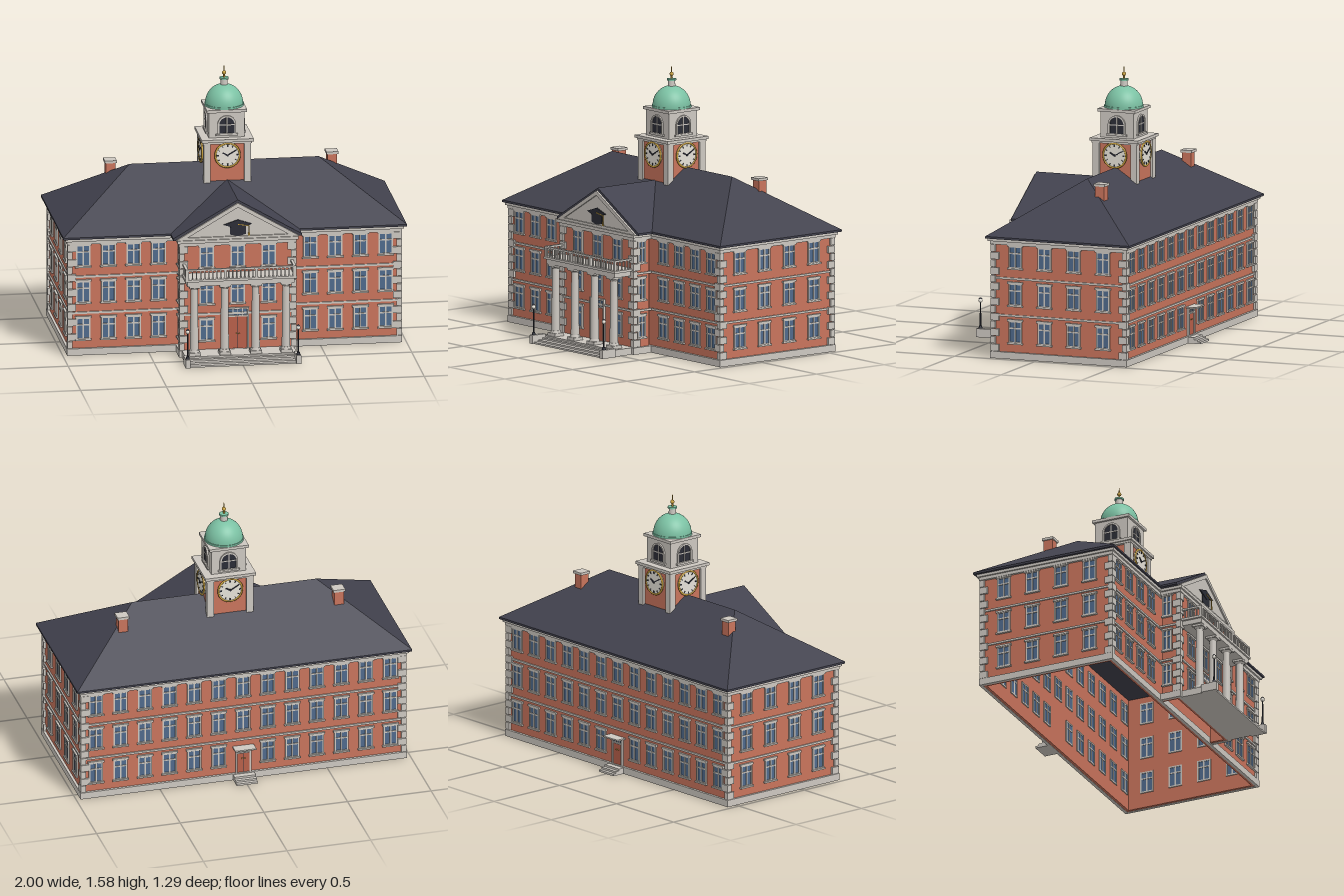
import * as THREE from 'three';

const M = {};
for (const [name, color] of Object.entries({
  brick: 0xc9745c, stone: 0xcdc8c1, roof: 0x42424e, glass: 0x4f6a8c, copper: 0x7cc2a4,
  gold: 0xc8a03c, dial: 0xe6e2d8, dark: 0x2b2d36, door: 0xb8604a,
})) M[name] = new THREE.MeshStandardMaterial({ name, color });

function add(parent, name, geo, mat, x = 0, y = 0, z = 0) {
  const m = new THREE.Mesh(geo, mat);
  m.name = name;
  m.position.set(x, y, z);
  parent.add(m);
  return m;
}
// box given by its minimum and maximum corners
function span(parent, name, mat, x0, x1, y0, y1, z0, z1) {
  return add(parent, name, new THREE.BoxGeometry(x1 - x0, y1 - y0, z1 - z0), mat,
    (x0 + x1) / 2, (y0 + y1) / 2, (z0 + z1) / 2);
}
function sub(parent, name, x = 0, y = 0, z = 0, ry = 0) {
  const g = new THREE.Group();
  g.name = name;
  g.position.set(x, y, z);
  g.rotation.y = ry;
  parent.add(g);
  return g;
}
const poly = pts => new THREE.Shape(pts.map(p => new THREE.Vector2(...p)));
const extrude = (shape, depth) =>
  new THREE.ExtrudeGeometry(shape, { depth, bevelEnabled: false, curveSegments: 12 });
const rect = (x0, x1, y0, y1) => poly([[x0, y0], [x1, y0], [x1, y1], [x0, y1]]);
const cyl = (r0, r1, h, n = 20) => new THREE.CylinderGeometry(r0, r1, h, n);

// window geometry: four panes in a frame that passes through the thin wall
const windowCache = {};
function addWindow(parent, x, y, w = 0.084) {
  const H = 0.066, a = w / 2, f = 0.009, m = 0.004, t = 0.022;
  if (!windowCache[w]) {
    const s = rect(-a, a, -H, H);
    for (const [x0, x1] of [[-a + f, -m], [m, a - f]])
      for (const [y0, y1] of [[-H + f, t - m], [t + m, H - f]]) s.holes.push(rect(x0, x1, y0, y1));
    windowCache[w] = [extrude(s, 0.034).translate(0, 0, -0.026),
      new THREE.BoxGeometry(w - 0.004, 2 * H - 0.004, 0.026).translate(0, 0, -0.01)];
  }
  const g = sub(parent, 'window', x, y, 0);
  add(g, 'windowFrame', windowCache[w][0], M.stone);
  add(g, 'windowGlass', windowCache[w][1], M.glass);
  span(g, 'lintel', M.stone, -a - 0.006, a + 0.006, H - 0.004, H + 0.008, 0, 0.012);
  span(g, 'sill', M.stone, -a - 0.006, a + 0.006, -H - 0.006, -H + 0.003, 0, 0.014);
}

const FLOORS = [0.158, 0.377, 0.595];
// one wall seen from outside: local z is outward; courses are [y0, y1, overhang]
const COURSES = [[0, 0.04, 0.015], [0.246, 0.258, 0.008], [0.463, 0.475, 0.008],
  [0.665, 0.684, 0.015], [0.684, 0.702, 0.025]];
function wall(parent, name, x, z, ry, half, inset, xs, skip = () => false, w) {
  const g = sub(parent, name, x, 0, z, ry);
  span(g, 'brickWall', M.brick, -half + inset, half - inset, 0.002, 0.7, -0.02, 0);
  for (const [y0, y1, o] of COURSES) {
    const e = half + (inset ? 0 : o);
    span(g, 'course', M.stone, -e, e, y0, y1, -0.004, o);
  }
  xs.forEach(wx => FLOORS.forEach((y, i) => { if (!skip(wx, i)) addWindow(g, wx, y, w); }));
  return g;
}

// alternating corner stones; sx and sz point outward
function quoins(parent, x, z, sx, sz) {
  const g = sub(parent, 'cornerStones', x, 0, z), n = 14, h = 0.625 / n;
  for (let i = 0; i < n; i++) {
    const a = i % 2 ? 0.05 : 0.03, b = i % 2 ? 0.03 : 0.05;
    add(g, 'cornerStone', new THREE.BoxGeometry(a, h - 0.004, b), M.stone,
      sx * (0.013 - a / 2), 0.04 + h * (i + 0.5), sz * (0.013 - b / 2));
  }
}

function hipRoof() {
  const y = 0.712, t = 1.01, A = [-1, y, 0.31], B = [1, y, 0.31], C = [1, y, -0.59], D = [-1, y, -0.59],
    L = [-0.55, t, -0.14], R = [0.55, t, -0.14];
  const g = new THREE.BufferGeometry();
  g.setAttribute('position', new THREE.Float32BufferAttribute(
    [A, B, R, A, R, L, B, C, R, C, D, L, C, L, R, D, A, L].flat(), 3));
  g.computeVertexNormals();
  return g;
}

function clock(parent) {
  const g = sub(parent, 'clock', 0, 1.08, 0.126);
  add(g, 'clockDial', cyl(0.07, 0.07, 0.014, 40).rotateX(Math.PI / 2), M.dial, 0, 0, 0.007);
  add(g, 'clockRim', new THREE.TorusGeometry(0.071, 0.006, 8, 40), M.gold, 0, 0, 0.012);
  for (let i = 0; i < 12; i++) {
    const t = new THREE.BoxGeometry(i % 3 ? 0.004 : 0.008, 0.012, 0.004).translate(0, 0.057, 0);
    add(g, 'hourMark', t.rotateZ(i * Math.PI / 6), M.dark, 0, 0, 0.015);
  }
  for (const [len, w, a] of [[0.036, 0.008, 1.05], [0.056, 0.006, -1.05]])
    add(g, 'clockHand', new THREE.BoxGeometry(w, len, 0.004).translate(0, len / 2 - 0.004, 0).rotateZ(a),
      M.dark, 0, 0, 0.017);
  add(g, 'clockHub', cyl(0.006, 0.006, 0.008, 12).rotateX(Math.PI / 2), M.dark, 0, 0, 0.016);
}

function arch(a, y0, y1) {
  const s = new THREE.Shape();
  s.moveTo(-a, y0).lineTo(a, y0).lineTo(a, y1).absarc(0, y1, a, 0, Math.PI, false).lineTo(-a, y0);
  return s;
}

function tower(root) {
  const g = sub(root, 'clockTower', 0, 0, -0.137);
  span(g, 'towerShaft', M.brick, -0.125, 0.125, 0.72, 1.15, -0.125, 0.125);
  for (const sx of [-1, 1]) for (const sz of [-1, 1])
    add(g, 'towerPilaster', new THREE.BoxGeometry(0.04, 0.43, 0.04), M.stone, sx * 0.118, 0.935, sz * 0.118);
  const slab = (name, h, y0, y1) => span(g, name, M.stone, -h, h, y0, y1, -h, h);
  slab('towerFrieze', 0.142, 1.148, 1.16);
  slab('towerCornice', 0.151, 1.16, 1.177);
  slab('belfry', 0.104, 1.177, 1.33);
  slab('belfryCornice', 0.117, 1.328, 1.345);
  for (let i = 0; i < 4; i++) {
    const f = sub(g, 'towerSide', 0, 0, 0, i * Math.PI / 2);
    clock(f);
    // arched belfry opening
    const frame = arch(0.054, 1.197, 1.255);
    frame.holes.push(arch(0.044, 1.203, 1.255));
    add(f, 'archFrame', extrude(frame, 0.01), M.stone, 0, 0, 0.103);
    add(f, 'archOpening', extrude(arch(0.045, 1.2, 1.255), 0.004), M.dark, 0, 0, 0.102);
    span(f, 'archMullion', M.stone, -0.003, 0.003, 1.2, 1.298, 0.104, 0.109);
    span(f, 'archTransom', M.stone, -0.045, 0.045, 1.25, 1.256, 0.104, 0.109);
    span(f, 'archSill', M.stone, -0.064, 0.064, 1.19, 1.201, 0.1, 0.117);
  }
  // dome, lantern and finial
  add(g, 'domeRing', cyl(0.114, 0.114, 0.012, 40), M.copper, 0, 1.35, 0);
  add(g, 'dome', new THREE.SphereGeometry(0.11, 40, 16, 0, Math.PI * 2, 0, Math.PI / 2).scale(1, 1.05, 1),
    M.copper, 0, 1.354, 0);
  add(g, 'lantern', cyl(0.02, 0.022, 0.045), M.stone, 0, 1.482, 0);
  add(g, 'lanternCap', cyl(0.027, 0.027, 0.01), M.copper, 0, 1.504, 0);
  add(g, 'finialRod', cyl(0.002, 0.006, 0.07, 10), M.gold, 0, 1.543, 0);
  add(g, 'finialBall', new THREE.SphereGeometry(0.012, 16, 10), M.gold, 0, 1.537, 0);
}

function pediment(root) {
  // gable roof running back into the main roof
  add(root, 'gableRoof', extrude(poly([[-0.375, 0.7], [0.375, 0.7], [0.375, 0.712], [0, 0.93], [-0.375, 0.712]]), 0.49),
    M.roof, 0, 0, -0.08);
  const g = sub(root, 'pediment', 0, 0, 0.41);
  add(g, 'tympanum', extrude(poly([[-0.345, 0.704], [0.345, 0.704], [0, 0.905]]), 0.003), M.stone);
  const rake = poly([[-0.36, 0.702], [0.36, 0.702], [0, 0.914]]);
  rake.holes.push(poly([[-0.295, 0.716], [0.295, 0.716], [0, 0.888]]));
  add(g, 'rakingCornice', extrude(rake, 0.012), M.stone);
  // graduation cap emblem
  const e = sub(g, 'capEmblem', 0, 0, 0.003);
  add(e, 'capCrown', extrude(poly([[-0.046, 0.727], [0, 0.714], [0.046, 0.727], [0.046, 0.77], [-0.046, 0.77]]), 0.005), M.dark);
  add(e, 'capBoard', extrude(poly([[-0.083, 0.786], [0, 0.758], [0.083, 0.786], [0, 0.814]]), 0.008), M.dark);
  add(e, 'tasselCord', extrude(poly([[0, 0.789], [0, 0.785], [0.062, 0.774], [0.066, 0.778]]), 0.002), M.gold, 0, 0, 0.008);
  span(e, 'tasselDrop', M.gold, 0.062, 0.066, 0.735, 0.777, 0.008, 0.011);
  add(e, 'tassel', extrude(poly([[0.057, 0.718], [0.071, 0.718], [0.067, 0.742], [0.061, 0.742]]), 0.004), M.gold, 0, 0, 0.008);
}

function portico(root) {
  const g = sub(root, 'portico');
  span(g, 'porch', M.stone, -0.325, 0.325, 0, 0.04, 0.4, 0.548);
  [0.57, 0.602, 0.634].forEach((z, i) =>
    span(g, 'step', M.stone, -0.31, 0.31, 0, 0.03 - i * 0.01, 0.54, z));
  for (const x of [-0.267, -0.09, 0.09, 0.267]) {
    span(g, 'columnPlinth', M.stone, x - 0.033, x + 0.033, 0.04, 0.058, 0.472, 0.538);
    add(g, 'columnBase', cyl(0.027, 0.03, 0.014), M.stone, x, 0.065, 0.505);
    add(g, 'columnShaft', cyl(0.021, 0.025, 0.38), M.stone, x, 0.26, 0.505);
    add(g, 'columnNeck', cyl(0.03, 0.022, 0.012), M.stone, x, 0.44, 0.505);
    span(g, 'capital', M.stone, x - 0.032, x + 0.032, 0.446, 0.46, 0.473, 0.537);
  }
  span(g, 'architrave', M.stone, -0.312, 0.312, 0.458, 0.486, 0.4, 0.538);
  span(g, 'balconySlab', M.stone, -0.325, 0.325, 0.486, 0.5, 0.4, 0.547);
  // balustrade
  const post = (name, x, z, w) => span(g, name, M.stone, x - w, x + w, 0.5, 0.556, z - w, z + w);
  span(g, 'frontRail', M.stone, -0.322, 0.322, 0.55, 0.561, 0.529, 0.545);
  for (let i = 0; i <= 26; i++) post('baluster', -0.305 + i * 0.61 / 26, 0.537, 0.0035);
  for (const s of [-1, 1]) {
    add(g, 'sideRail', new THREE.BoxGeometry(0.016, 0.011, 0.13), M.stone, s * 0.314, 0.5555, 0.475);
    for (let i = 0; i < 4; i++) post('baluster', s * 0.314, 0.435 + i * 0.025, 0.0035);
    for (const x of [0.09, 0.314]) post('railPost', s * x, 0.537, 0.008);
    // stair cheek and lamp
    const l = sub(g, 'stairLamp', s * 0.322, 0, 0);
    span(l, 'stairCheek', M.stone, -0.014, 0.014, 0, 0.05, 0.548, 0.645);
    add(l, 'lampFoot', cyl(0.008, 0.012, 0.016, 12), M.dark, 0, 0.058, 0.624);
    add(l, 'lampPole', cyl(0.004, 0.005, 0.15, 10), M.dark, 0, 0.13, 0.624);
    add(l, 'lampGlobe', new THREE.SphereGeometry(0.012, 14, 10), M.dial, 0, 0.213, 0.624);
    add(l, 'lampCap', new THREE.ConeGeometry(0.011, 0.01, 12), M.dark, 0, 0.228, 0.624);
  }
}

function door(parent, half, top, transom) {
  const g = sub(parent, 'doorway');
  const end = top + transom;
  const frame = rect(-half - 0.01, half + 0.01, 0.04, end + 0.01);
  frame.holes.push(rect(-half, half, 0.041, top), rect(-half, half, top + 0.008, end));
  add(g, 'doorFrame', extrude(frame, 0.014), M.stone);
  span(g, 'doorLeaf', M.door, -half, half, 0.04, top, -0.001, 0.006);
  span(g, 'doorGap', M.dark, -0.001, 0.001, 0.042, top, 0.005, 0.007);
  span(g, 'transomGlass', M.glass, -half, half, top + 0.008, end, 0, 0.005);
  for (let i = 1; i < 4; i++)
    add(g, 'transomBar', new THREE.BoxGeometry(0.004, transom - 0.008, 0.004), M.stone,
      half * (i / 2 - 1), top + 0.004 + transom / 2, 0.006);
  for (const s of [-1, 1])
    add(g, 'doorKnob', new THREE.SphereGeometry(0.004, 8, 6), M.gold, s * 0.008, 0.13, 0.008);
}

export function createModel() {
  const root = new THREE.Group();
  root.name = 'clockTowerHall';
  const P = Math.PI, zc = -0.1375;
  // main block, hollow and open underneath
  const row = [-0.88, -0.733, -0.587, -0.442];
  wall(root, 'frontWall', 0, 0.275, 0, 0.96, 0, [...row, ...row.map(x => -x)]);
  const back = wall(root, 'backWall', 0, -0.55, P, 0.96, 0,
    Array.from({ length: 13 }, (_, i) => (i - 6) * 0.1467), (x, i) => i === 0 && Math.abs(x) < 0.01);
  for (const s of [-1, 1]) {
    wall(root, 'sideWall', s * 0.96, zc, s * P / 2, 0.4125, 0.02, [-0.274, -0.0915, 0.0915, 0.274]);
    // projecting centre bay
    wall(root, 'baySideWall', s * 0.327, 0.34, s * P / 2, 0.065, 0.02, [-0.012], undefined, 0.058);
    for (const z of [0.275, -0.55]) quoins(root, s * 0.96, z, s, Math.sign(z));
    quoins(root, s * 0.327, 0.405, s, 1);
    // chimneys
    const c = sub(root, 'chimney', s * 0.645, 0, -0.268);
    span(c, 'chimneyStack', M.brick, -0.028, 0.028, 0.8, 0.992, -0.028, 0.028);
    span(c, 'chimneyCap', M.stone, -0.035, 0.035, 0.99, 1.005, -0.035, 0.035);
  }
  const bay = wall(root, 'bayFrontWall', 0, 0.405, 0, 0.327, 0, [-0.18, 0, 0.18], (x, i) => i === 0 && x === 0);
  door(bay, 0.055, 0.232, 0.044);
  // back entrance
  door(back, 0.036, 0.165, 0.026);
  span(back, 'backCanopy', M.stone, -0.063, 0.063, 0.203, 0.211, 0, 0.064);
  [[0.05, 0.035], [0.072, 0.023], [0.093, 0.012]].forEach(([z, y]) =>
    span(back, 'backStep', M.stone, -0.063, 0.063, 0, y, 0.005, z));
  // roofs
  span(root, 'eaves', M.roof, -1, 1, 0.7, 0.712, -0.59, 0.31);
  add(root, 'hipRoof', hipRoof(), M.roof);
  pediment(root);
  portico(root);
  tower(root);
  return root;
}
